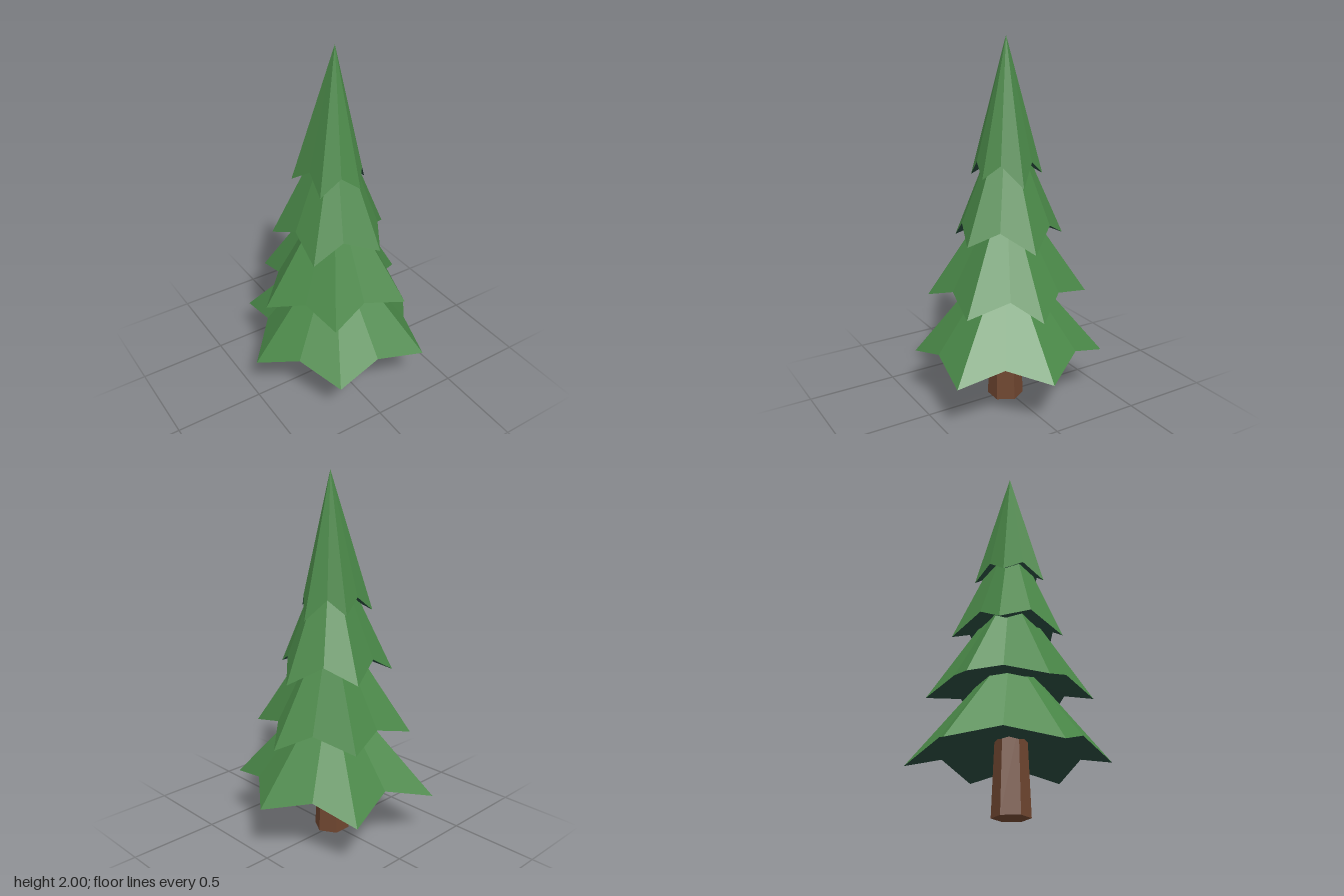
import * as THREE from 'three';

const CX = 0.01, CZ = 0.015; // trunk axis

// Each tier: apex height, underside centre height, notch height,
// and a ring of branch tips [x, y, z] each followed by the notch [x, z] after it.
const TIERS = [
  { name: 'bottomFoliage', apex: 0.9, under: 0.4, notchY: 0.35,
    tips: [[0.51, 0.28, 0.03], [0.275, 0.265, -0.45], [-0.29, 0.26, -0.48], [-0.51, 0.265, 0.02], [-0.24, 0.275, 0.46], [0.3, 0.285, 0.48]],
    notches: [[0.36, -0.21], [-0.01, -0.38], [-0.315, -0.195], [-0.35, 0.22], [0.015, 0.44], [0.355, 0.23]] },
  { name: 'lowerFoliage', apex: 1.27, under: 0.73, notchY: 0.68,
    tips: [[0.41, 0.585, 0.03], [0.21, 0.62, -0.375], [-0.235, 0.62, -0.35], [-0.42, 0.605, 0], [-0.22, 0.605, 0.38], [0.23, 0.615, 0.38]],
    notches: [[0.29, -0.14], [-0.01, -0.315], [-0.25, -0.16], [-0.28, 0.18], [-0.01, 0.335], [0.275, 0.15]] },
  { name: 'upperFoliage', apex: 1.65, under: 1.08, notchY: 1.03,
    tips: [[0.32, 0.925, 0.025], [0.105, 0.945, -0.285], [-0.26, 0.935, -0.19], [-0.235, 0.92, 0.195], [0.105, 0.955, 0.305]],
    notches: [[0.205, -0.135], [-0.085, -0.21], [-0.23, 0.01], [-0.08, 0.235], [0.19, 0.16]] },
  { name: 'topFoliage', apex: 2, under: 1.4, notchY: 1.36,
    tips: [[0.195, 1.245, 0.02], [0.075, 1.285, -0.17], [-0.17, 1.27, -0.12], [-0.155, 1.27, 0.135], [0.055, 1.285, 0.185]],
    notches: [[0.12, -0.075], [-0.04, -0.135], [-0.14, 0.015], [-0.045, 0.16], [0.115, 0.11]] },
];

// Fan of flat triangles from a centre point to a closed ring
function fan(ring, centre, flip) {
  const pos = [];
  ring.forEach((p, i) => {
    const q = ring[(i + 1) % ring.length];
    pos.push(...centre, ...(flip ? q : p), ...(flip ? p : q));
  });
  const g = new THREE.BufferGeometry();
  g.setAttribute('position', new THREE.Float32BufferAttribute(pos, 3));
  g.computeVertexNormals();
  return g;
}

function material(name, color) {
  const m = new THREE.MeshStandardMaterial({ color, flatShading: true });
  m.name = name;
  return m;
}

export function createModel() {
  const model = new THREE.Group();
  model.name = 'pineTree';
  const needles = material('needle green', 0x4a8848);
  const shade = material('underside green', 0x27483c);
  const bark = material('bark brown', 0x6f4630);

  const add = (parent, name, geometry, mat) => {
    const mesh = new THREE.Mesh(geometry, mat);
    mesh.name = name;
    parent.add(mesh);
    return mesh;
  };

  // Tapered hexagonal trunk with a corner towards each side
  const trunk = new THREE.CylinderGeometry(0.082, 0.1, 0.45, 6);
  trunk.rotateY(Math.PI / 6 + Math.PI / 3);
  trunk.rotateY(Math.PI / 2 - Math.PI / 2);
  add(model, 'trunk', trunk, bark).position.set(0, 0.225, CZ);
  model.getObjectByName('trunk').geometry.computeVertexNormals();

  // Star-shaped foliage tiers, each a pointed cap and a shallow underside
  for (const t of TIERS) {
    const tier = new THREE.Group();
    tier.name = t.name;
    const ring = t.tips.flatMap((tip, i) => {
      const [x, z] = t.notches[i];
      return [tip, [x, t.notchY, z]];
    });
    add(tier, t.name + 'Branches', fan(ring, [CX, t.apex, CZ], false), needles);
    add(tier, t.name + 'Underside', fan(ring, [CX, t.under, CZ], true), shade);
    model.add(tier);
  }
  return model;
}
